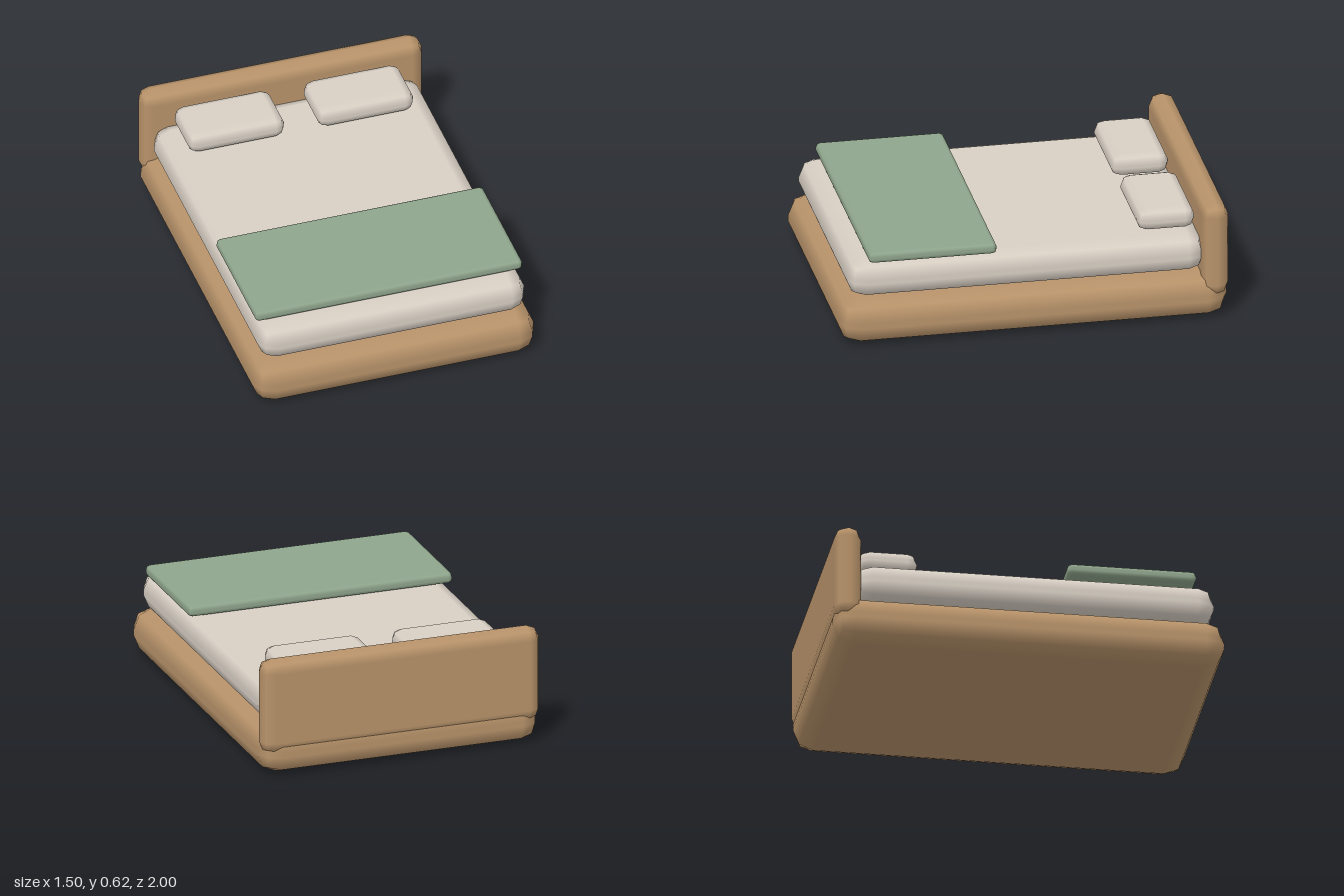
import * as THREE from 'three';
import { RoundedBoxGeometry } from 'three/addons/geometries/RoundedBoxGeometry.js';

function material(name, color) {
  const m = new THREE.MeshStandardMaterial({ color });
  m.name = name;
  return m;
}

export function createModel() {
  const bed = new THREE.Group();
  bed.name = 'bed';

  const wood = material('wood', 0xb8936a);
  const linen = material('linen', 0xd8cfc4);
  const green = material('sage green', 0x8fa58c);

  // Soft-edged box given by its extents along each axis
  function softBox(name, mat, [x0, x1], [y0, y1], [z0, z1], radius) {
    const mesh = new THREE.Mesh(
      new RoundedBoxGeometry(x1 - x0, y1 - y0, z1 - z0, 1, radius), mat);
    mesh.position.set((x0 + x1) / 2, (y0 + y1) / 2, (z0 + z1) / 2);
    mesh.name = name;
    bed.add(mesh);
  }

  // Base and headboard
  softBox('frame', wood, [-0.75, 0.75], [0, 0.24], [-1, 1], 0.105);
  softBox('headboard', wood, [-0.75, 0.75], [0.12, 0.622], [-1, -0.862], 0.065);

  // Bedding
  softBox('mattress', linen, [-0.71, 0.71], [0.24, 0.442], [-0.89, 0.95], 0.09);
  softBox('blanket', green, [-0.71, 0.71], [0.442, 0.502], [0.19, 0.85], 0.025);
  softBox('rightPillow', linen, [-0.6, -0.085], [0.442, 0.56], [-0.853, -0.555], 0.053);
  softBox('leftPillow', linen, [0.085, 0.6], [0.442, 0.56], [-0.853, -0.555], 0.053);

  return bed;
}
